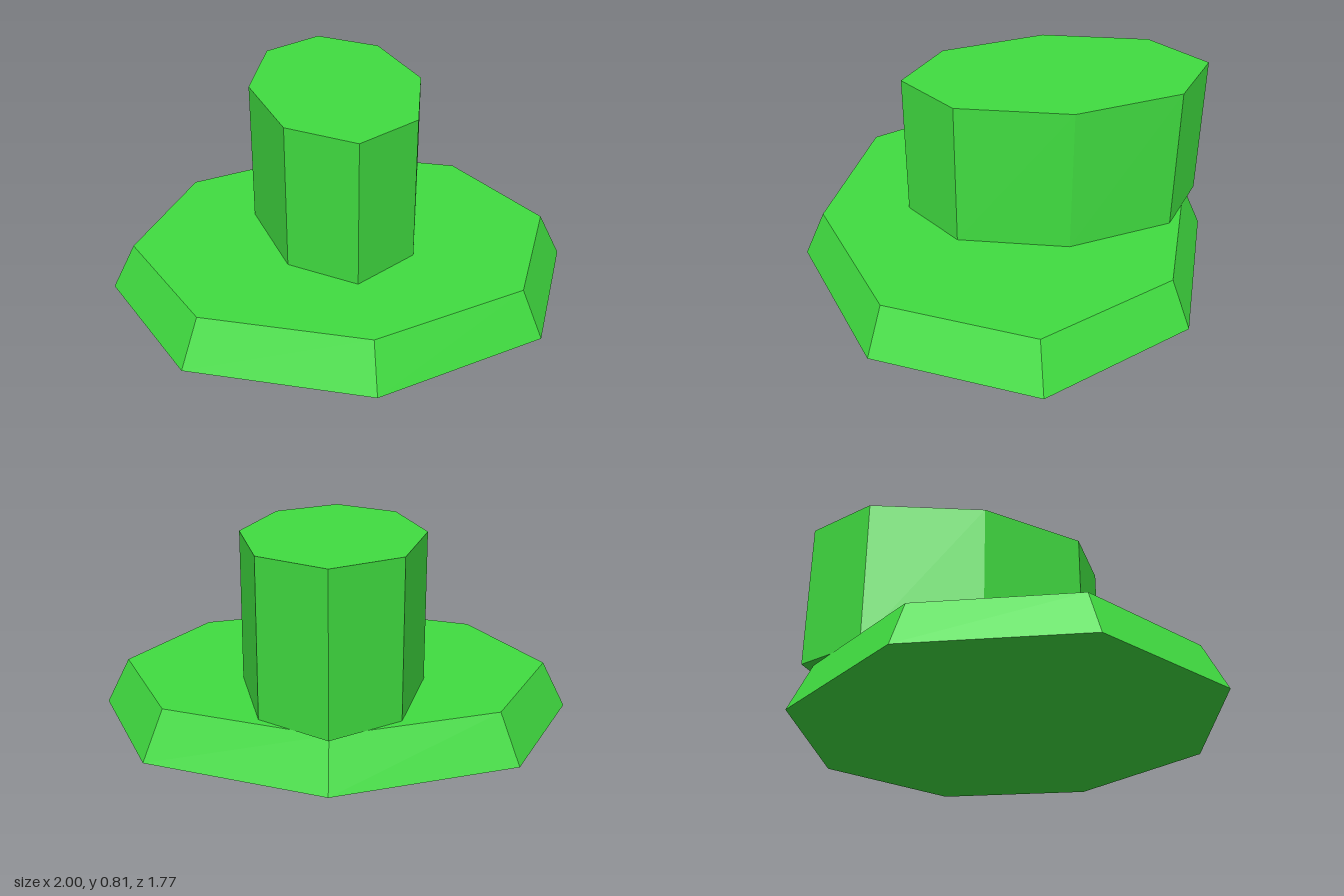
import * as THREE from 'three';

export function createModel() {
  const model = new THREE.Group();
  const green = new THREE.MeshStandardMaterial({ color: 0x40dc40, flatShading: true });
  green.name = 'green';

  // Eight-sided prism stretched along z, standing on y = bottom
  function octagon(name, topRadius, bottomRadius, bottom, top, stretch, z) {
    const geometry = new THREE.CylinderGeometry(topRadius, bottomRadius, top - bottom, 8);
    geometry.scale(1, 1, stretch);
    const mesh = new THREE.Mesh(geometry, green);
    mesh.name = name;
    mesh.position.set(0, (bottom + top) / 2, z);
    model.add(mesh);
  }

  // Wide tapered base
  octagon('base', 0.9, 1, 0, 0.195, 0.887, 0);
  // Narrow block set towards the back, overhanging the rim slightly
  octagon('upperBlock', 0.372, 0.372, 0.195, 0.808, 1.712, -0.208);

  return model;
}
